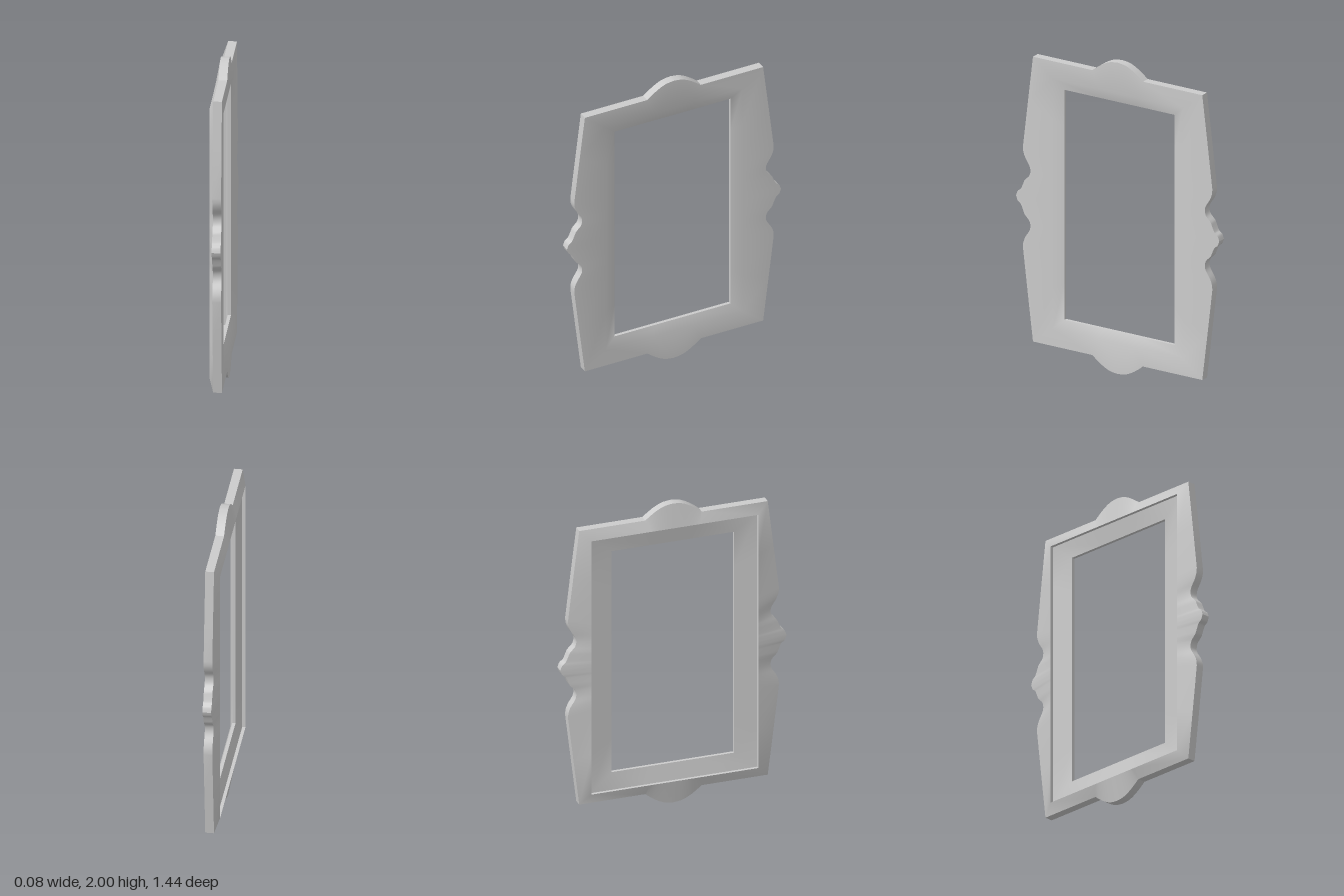
import * as THREE from 'three';
import { toCreasedNormals } from 'three/addons/utils/BufferGeometryUtils.js';

const HALF_W = 0.6, HALF_H = 0.915; // mitre corners of the outer outline

// Mirror a half edge [along, outward] (positive to 0) into a full edge.
function mirrorEdge(half) {
  return [...half, ...half.slice(0, -1).reverse().map(([a, o]) => [-a, o])];
}

function smooth(points, n) {
  return new THREE.SplineCurve(points.map(p => new THREE.Vector2(...p)))
    .getPoints(n).map(p => [p.x, p.y]);
}

// Short edge: straight rail with a bell-shaped crest.
const shortEdge = mirrorEdge([[HALF_W, HALF_H],
  ...smooth([[0.18, 0.915], [0.145, 0.942], [0.105, 0.969], [0.055, 0.992], [0, 1]], 14)]);

// Long edge: flared rail, scooped notch and small pointed scroll.
const longEdge = mirrorEdge([[HALF_H, HALF_W], [0.62, 0.636],
  ...smooth([[0.326, 0.671], [0.29, 0.668], [0.25, 0.652], [0.21, 0.626], [0.178, 0.618],
    [0.145, 0.626], [0.122, 0.648], [0.113, 0.656]], 16),
  ...smooth([[0.105, 0.662], [0.075, 0.674], [0.05, 0.686], [0.042, 0.695], [0.03, 0.709], [0, 0.72]], 12)]);

// Cross-section from outer front edge, through the opening, to the back:
// [x, half width, half height]; no width means the ornamental outline.
const section = [
  [-0.013],
  [-0.04, 0.53, 0.847],
  [-0.02, 0.53, 0.847],
  [0.0, 0.39, 0.739],
  [0.02, 0.39, 0.739],
  [0.04, 0.46, 0.802],
  [0.04],
];

// One closed ring of points around the frame, clockwise seen from -x.
function ring([x, w, h]) {
  const along = (a, full, inner) => (w ? a * inner / full : a);
  const pts = [];
  for (const s of [1, -1]) {
    for (const [a, o] of shortEdge)
      pts.push([x, 1 + s * (w ? h : o), -s * along(a, HALF_W, w)]);
    for (const [a, o] of longEdge)
      pts.push([x, 1 + s * along(a, HALF_H, h), s * (w ? w : o)]);
  }
  return pts;
}

function frameGeometry() {
  const rings = section.map(ring);
  const pos = [];
  rings.forEach((A, k) => {
    const B = rings[(k + 1) % rings.length];
    for (let i = 0; i < A.length; i++) {
      const j = (i + 1) % A.length;
      // Edges meet at a shared corner, so skip the empty joint.
      if (Math.hypot(A[i][1] - A[j][1], A[i][2] - A[j][2]) < 1e-6) continue;
      pos.push(...A[i], ...B[i], ...B[j], ...A[i], ...B[j], ...A[j]);
    }
  });
  const g = new THREE.BufferGeometry();
  g.setAttribute('position', new THREE.Float32BufferAttribute(pos, 3));
  return toCreasedNormals(g, Math.PI / 6);
}

export function createModel() {
  const group = new THREE.Group();
  group.name = 'ornamentalFrame';
  const frame = new THREE.Mesh(frameGeometry(), new THREE.MeshStandardMaterial({ color: 0xcccccc }));
  frame.name = 'frame';
  group.add(frame);
  return group;
}
